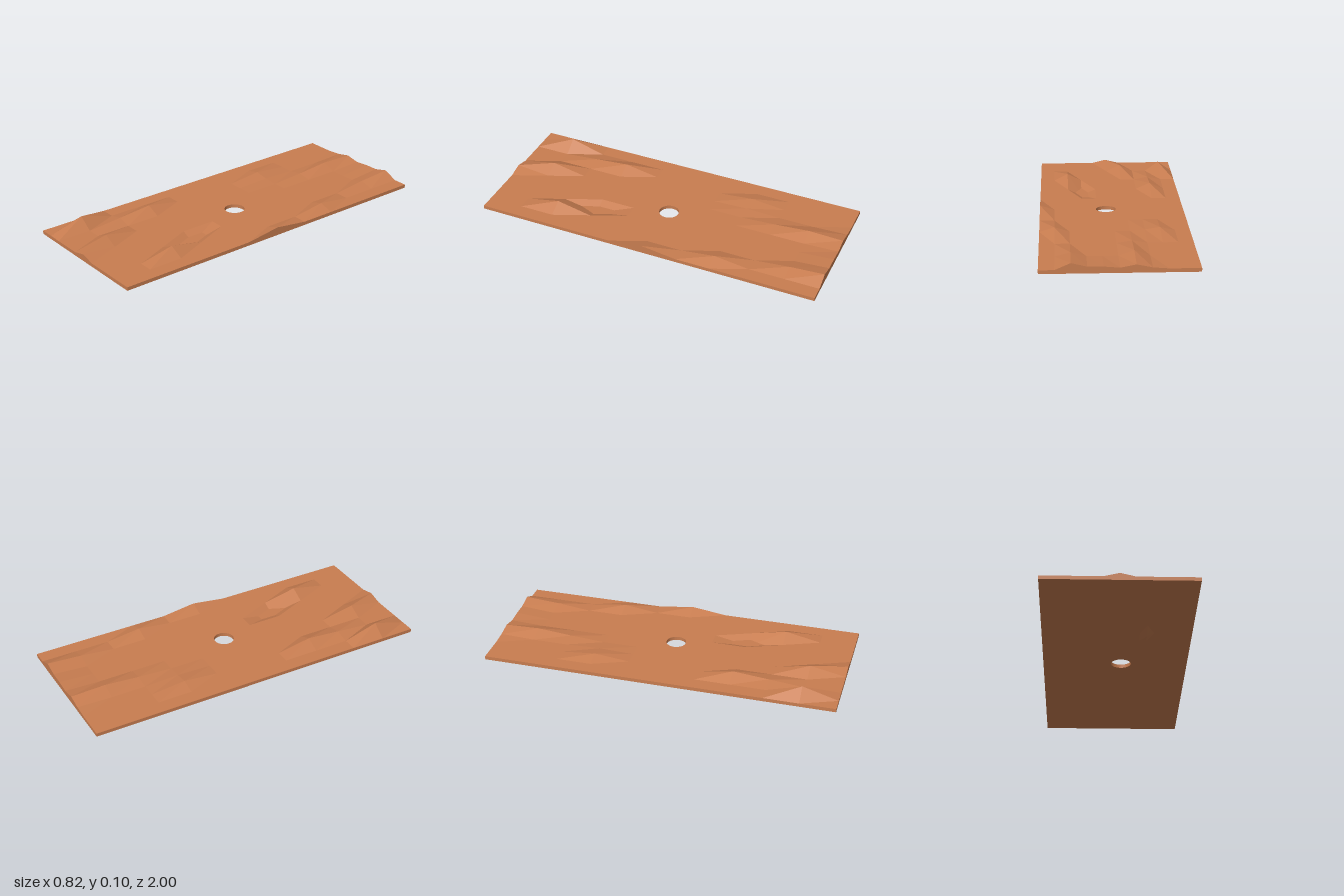
import * as THREE from 'three';

const W = 0.82, L = 2, N = 10, BOTTOM = 0.02, TOP = 0.04;
const HOLE = { x: 0.033, z: 0, r: 0.057 };

// Raised or sunk grid points: [column, row, height]; all others lie at TOP
const BUMPS = [
  [1, 9, 0.098], [4, 9, 0.08], [5, 10, 0.06], [8, 8, 0.081], [7, 7, 0.002],
  [2, 7, 0.076], [2, 8, 0.058], [10, 5, 0.067],
  [2, 3, 0.06], [3, 3, 0.047], [9, 3, 0.066],
  [4, 0, 0.064], [4, 1, 0.07], [4, 2, 0.053], [3, 0, 0.047],
  [5, 0, 0.048], [6, 0, 0.055], [7, 0, 0.056], [8, 0, 0.076], [8, 1, 0.062],
];

export function createModel() {
  const group = new THREE.Group();
  group.name = 'bumpySlab';
  const material = new THREE.MeshStandardMaterial({
    color: 0xc87d50, flatShading: true, side: THREE.DoubleSide,
  });
  const add = (name, geometry) => {
    const mesh = new THREE.Mesh(geometry, material);
    mesh.name = name;
    group.add(mesh);
    return mesh;
  };
  const fromPoints = (points) => {
    const g = new THREE.BufferGeometry().setFromPoints(points);
    g.computeVertexNormals();
    return g;
  };

  const heights = new Map(BUMPS.map(([i, j, h]) => [i + j * 11, h]));
  const gx = (i) => -W / 2 + (i * W) / N;
  const gz = (j) => -L / 2 + (j * L) / N;
  const top = (i, j) => new THREE.Vector3(gx(i), heights.get(i + j * 11) ?? TOP, gz(j));
  const base = (i, j) => new THREE.Vector3(gx(i), BOTTOM, gz(j));

  // Flat rectangle with the round hole; flipped when it faces down
  const holedSheet = (x0, x1, z0, z1, y, down) => {
    const shape = new THREE.Shape([
      new THREE.Vector2(x0, -z1), new THREE.Vector2(x1, -z1),
      new THREE.Vector2(x1, -z0), new THREE.Vector2(x0, -z0),
    ]);
    shape.holes.push(new THREE.Path().absarc(HOLE.x, -HOLE.z, HOLE.r, 0, Math.PI * 2, true));
    const g = new THREE.ShapeGeometry(shape, 16).rotateX(-Math.PI / 2).translate(0, y, 0);
    if (down) {
      g.index.array.reverse();
      g.computeVertexNormals();
    }
    return g;
  };

  // Faceted terrain, leaving the cells around the hole free
  const terrain = [];
  for (let j = 0; j < N; j++) {
    for (let i = 0; i < N; i++) {
      if (i >= 4 && i <= 6 && (j === 4 || j === 5)) continue;
      const a = top(i, j), b = top(i, j + 1), c = top(i + 1, j + 1), d = top(i + 1, j);
      terrain.push(a, b, c, a, c, d);
    }
  }
  add('terrainSurface', fromPoints(terrain));
  add('holeSurround', holedSheet(gx(4), gx(7), gz(4), gz(6), TOP, false));
  add('underside', holedSheet(-W / 2, W / 2, -L / 2, L / 2, BOTTOM, true));

  // Outer walls follow the terrain's edge
  const walls = [];
  const wall = (i0, j0, i1, j1) => {
    const a = base(i0, j0), b = base(i1, j1), c = top(i1, j1), d = top(i0, j0);
    walls.push(a, b, c, a, c, d);
  };
  for (let k = 0; k < N; k++) {
    wall(k, N, k + 1, N);
    wall(k + 1, 0, k, 0);
    wall(N, k + 1, N, k);
    wall(0, k, 0, k + 1);
  }
  add('outerWalls', fromPoints(walls));

  // Wall of the hole
  const bore = add('holeWall',
    new THREE.CylinderGeometry(HOLE.r, HOLE.r, TOP - BOTTOM, 32, 1, true));
  bore.position.set(HOLE.x, (TOP + BOTTOM) / 2, HOLE.z);

  return group;
}
